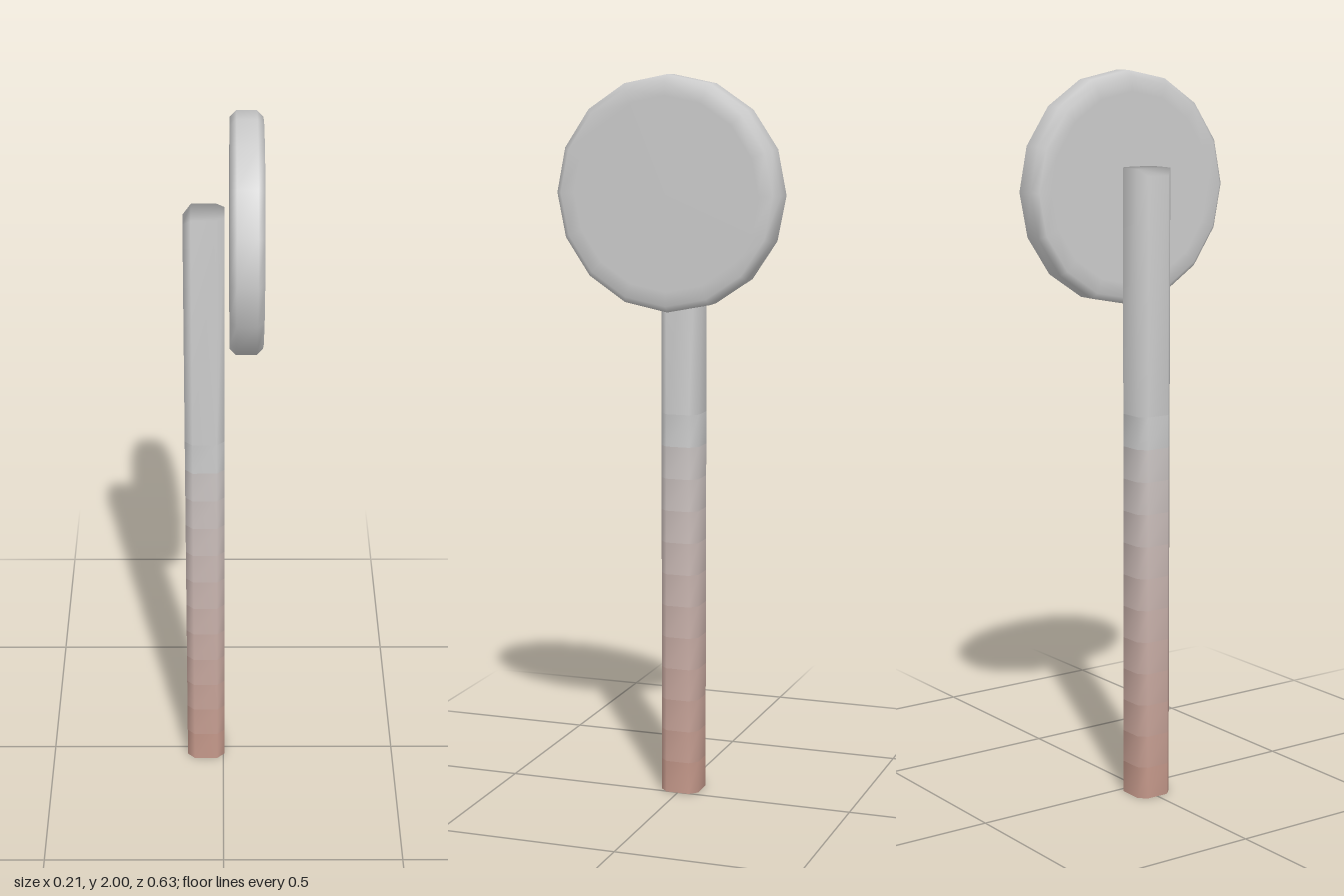
import * as THREE from 'three';

const GREY = new THREE.Color(0xcccccc);
const BROWN = new THREE.Color(0xc4988a);

// Chamfered square outline of the post, in [x, z], counter-clockwise seen from above
const X0 = -0.105, X1 = 0.003, Z = 0.054, C = 0.021;
const OUTLINE = [
  [X1, Z - C], [X1, C - Z], [X1 - C, -Z], [X0 + C, -Z],
  [X0, C - Z], [X0, Z - C], [X0 + C, Z], [X1 - C, Z],
];

// Open octagonal tube from y0 to y1; the capped one has its outer top edge lowered
function postSection(y0, y1, capped) {
  const n = OUTLINE.length, pos = [], index = [];
  for (const [x, z] of OUTLINE) pos.push(x, y0, z);
  for (const [x, z] of OUTLINE) pos.push(x, capped && x === X0 ? y1 - 0.02 : y1, z);
  for (let i = 0; i < n; i++) {
    const j = (i + 1) % n;
    index.push(i, j, n + j, i, n + j, n + i);
  }
  if (capped) {
    // flat top, then the sloping strip along the outer edge
    for (const [a, b, c] of [[0, 1, 2], [0, 2, 3], [0, 3, 6], [0, 6, 7], [3, 4, 5], [3, 5, 6]]) {
      index.push(n + a, n + b, n + c);
    }
  }
  const geometry = new THREE.BufferGeometry();
  geometry.setAttribute('position', new THREE.Float32BufferAttribute(pos, 3));
  geometry.setIndex(index);
  geometry.computeVertexNormals();
  return geometry;
}

export function createModel() {
  const model = new THREE.Group();

  // Post: short sections fading from brown at the foot to grey, open underneath
  const post = new THREE.Group();
  post.name = 'post';
  const bands = 12, fadeTop = 1.08;
  for (let i = 0; i <= bands; i++) {
    const top = i === bands;
    const y0 = (fadeTop * i) / bands;
    const y1 = top ? 1.745 : (fadeTop * (i + 1)) / bands;
    const color = BROWN.clone().lerp(GREY, i / bands);
    const section = new THREE.Mesh(
      postSection(y0, y1, top),
      new THREE.MeshStandardMaterial({ color, side: THREE.DoubleSide })
    );
    section.name = top ? 'postUpper' : 'postSection' + (i + 1);
    post.add(section);
  }
  model.add(post);

  // Sign disc: sixteen-sided plate with bevelled rim, facing +x
  const R = 0.315, B = 0.017, T = 0.087;
  const profile = [
    [0, 0], [R - B - 0.04, 0], [R - B, 0], [R, B],
    [R, T - B], [R - B, T], [R - B - 0.04, T], [0, T],
  ].map(([r, y]) => new THREE.Vector2(r, y));
  const disc = new THREE.Mesh(
    new THREE.LatheGeometry(profile, 16),
    new THREE.MeshStandardMaterial({ color: 0xcccccc })
  );
  disc.name = 'signDisc';
  disc.rotation.z = -Math.PI / 2;
  disc.position.set(0.016, 2 - R, 0);
  model.add(disc);

  return model;
}
